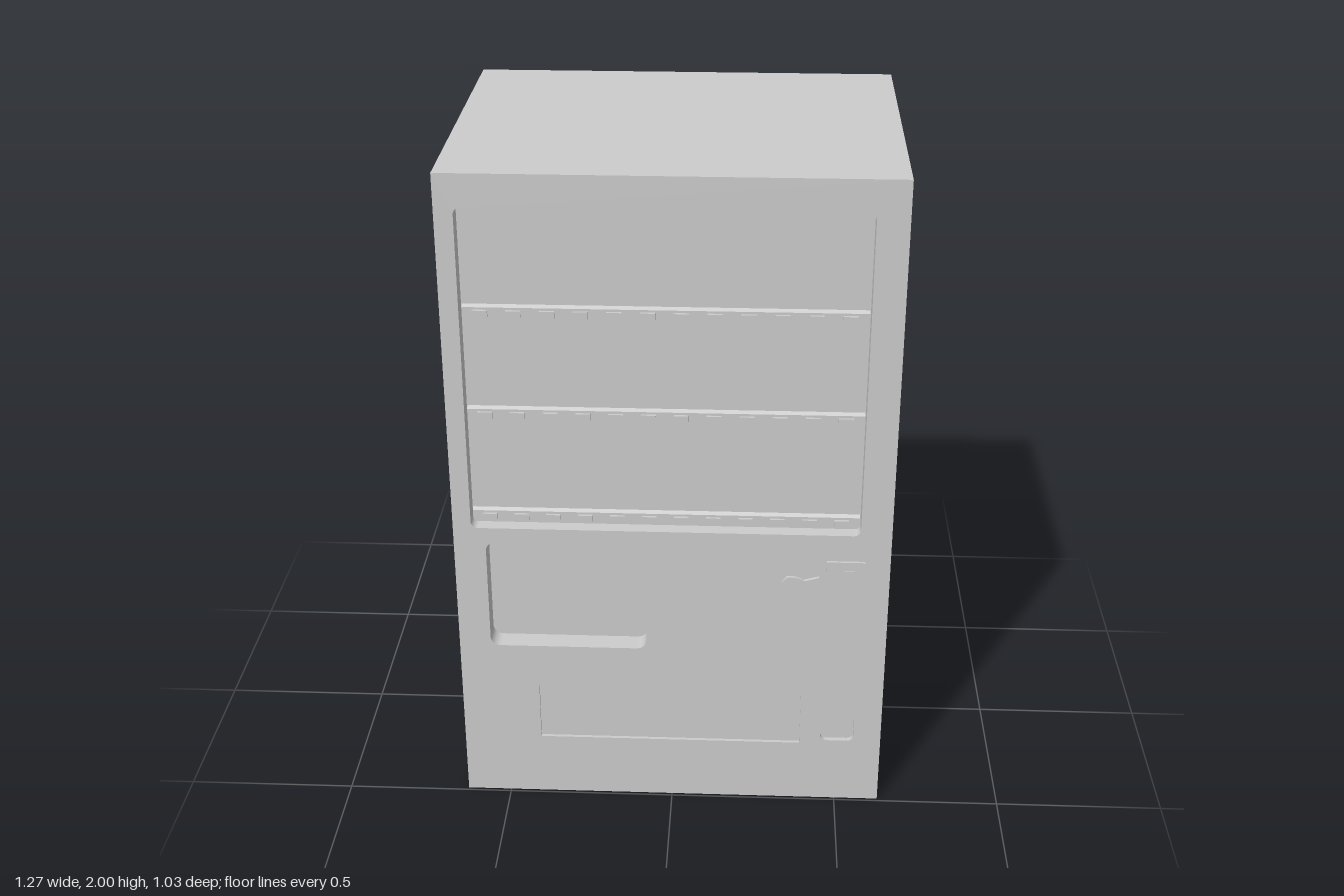
import * as THREE from 'three';

const FRONT = 0.49, BACK = -0.515, HALF = 0.633, HEIGHT = 2, PANEL = 0.065;
const material = new THREE.MeshStandardMaterial({ color: 0xcccccc });

// Pockets cut into the front panel: x0, x1, y0, y1, corner radius, depth
const pockets = [
  { name: 'displayWindow', box: [-0.58, 0.543, 0.93, 1.905], r: 0.02, depth: 0.05 },
  { name: 'sidePocket', box: [-0.54, -0.075, 0.53, 0.885], r: 0.03, depth: PANEL },
  { name: 'deliveryTray', box: [-0.4, 0.388, 0.203, 0.39], r: 0.003, depth: 0.01 },
  { name: 'coinReturn', box: [0.45, 0.551, 0.215, 0.305], r: 0.02, depth: 0.015 },
];

function roundedRect(target, [x0, x1, y0, y1], r) {
  target.moveTo(x0 + r, y0);
  target.lineTo(x1 - r, y0);
  target.absarc(x1 - r, y0 + r, r, -Math.PI / 2, 0);
  target.lineTo(x1, y1 - r);
  target.absarc(x1 - r, y1 - r, r, 0, Math.PI / 2);
  target.lineTo(x0 + r, y1);
  target.absarc(x0 + r, y1 - r, r, Math.PI / 2, Math.PI);
  target.lineTo(x0, y0 + r);
  target.absarc(x0 + r, y0 + r, r, Math.PI, Math.PI * 1.5);
  return target;
}

function addMesh(parent, name, geometry, x = 0, y = 0, z = 0) {
  const mesh = new THREE.Mesh(geometry, material);
  mesh.name = name;
  mesh.position.set(x, y, z);
  parent.add(mesh);
  return mesh;
}

const extrude = (shape, depth) =>
  new THREE.ExtrudeGeometry(shape, { depth, bevelEnabled: false, curveSegments: 6 });

export function createModel() {
  const model = new THREE.Group();
  model.name = 'vendingMachine';

  // Cabinet behind the front panel
  const depth = FRONT - PANEL - BACK;
  addMesh(model, 'cabinet', new THREE.BoxGeometry(HALF * 2, HEIGHT, depth),
    0, HEIGHT / 2, BACK + depth / 2);

  // Front panel with openings
  const panel = new THREE.Shape([
    new THREE.Vector2(-HALF, 0), new THREE.Vector2(HALF, 0),
    new THREE.Vector2(HALF, HEIGHT), new THREE.Vector2(-HALF, HEIGHT),
  ]);
  for (const p of pockets) panel.holes.push(roundedRect(new THREE.Path(), p.box, p.r));
  addMesh(model, 'frontPanel', extrude(panel, PANEL), 0, 0, FRONT - PANEL);

  // Backs of the shallower pockets
  for (const p of pockets) {
    if (p.depth >= PANEL) continue;
    addMesh(model, p.name + 'Back', extrude(roundedRect(new THREE.Shape(), p.box, p.r), PANEL - p.depth),
      0, 0, FRONT - PANEL);
  }

  // Three shelf rails, each with a row of selection buttons
  const buttonGeometry = new THREE.BoxGeometry(0.042, 0.02, 0.01);
  const railProfile = new THREE.Shape([
    new THREE.Vector2(0, 0), new THREE.Vector2(0.012, 0),
    new THREE.Vector2(0.012, 0.036), new THREE.Vector2(0, 0.042),
  ]);
  for (const y of [0.932, 1.258, 1.568]) {
    const shelf = new THREE.Group();
    shelf.name = 'shelf';
    shelf.position.set(0, y, FRONT - 0.05);
    model.add(shelf);
    const rail = addMesh(shelf, 'shelfRail', extrude(railProfile, 1.119), 0.541);
    rail.rotation.y = -Math.PI / 2;
    rail.scale.x = 1;
    for (let i = 0; i < 12; i++) {
      addMesh(shelf, 'selectionButton', buttonGeometry, -0.528 + i * 0.0924, 0.019, 0.015);
    }
  }

  // Coin plate with a slot rim
  addMesh(model, 'coinPlate', new THREE.BoxGeometry(0.111, 0.062, 0.008), 0.505, 0.815, FRONT + 0.004);
  addMesh(model, 'coinSlot', new THREE.BoxGeometry(0.05, 0.008, 0.002), 0.505, 0.815, FRONT + 0.009);

  // Return lever: rounded head tapering to a thin handle, on a short pin
  const lever = new THREE.Shape();
  lever.moveTo(0.319, 0.782);
  lever.quadraticCurveTo(0.322, 0.767, 0.338, 0.763);
  lever.quadraticCurveTo(0.358, 0.765, 0.37, 0.777);
  lever.lineTo(0.424, 0.796);
  lever.lineTo(0.428, 0.802);
  lever.lineTo(0.385, 0.79);
  lever.quadraticCurveTo(0.355, 0.806, 0.334, 0.8);
  lever.closePath();
  addMesh(model, 'returnLever', extrude(lever, 0.01), 0, 0, FRONT + 0.013);
  const pin = addMesh(model, 'leverPin', new THREE.CylinderGeometry(0.006, 0.006, 0.015, 12),
    0.338, 0.782, FRONT + 0.0075);
  pin.rotation.x = Math.PI / 2;

  return model;
}
